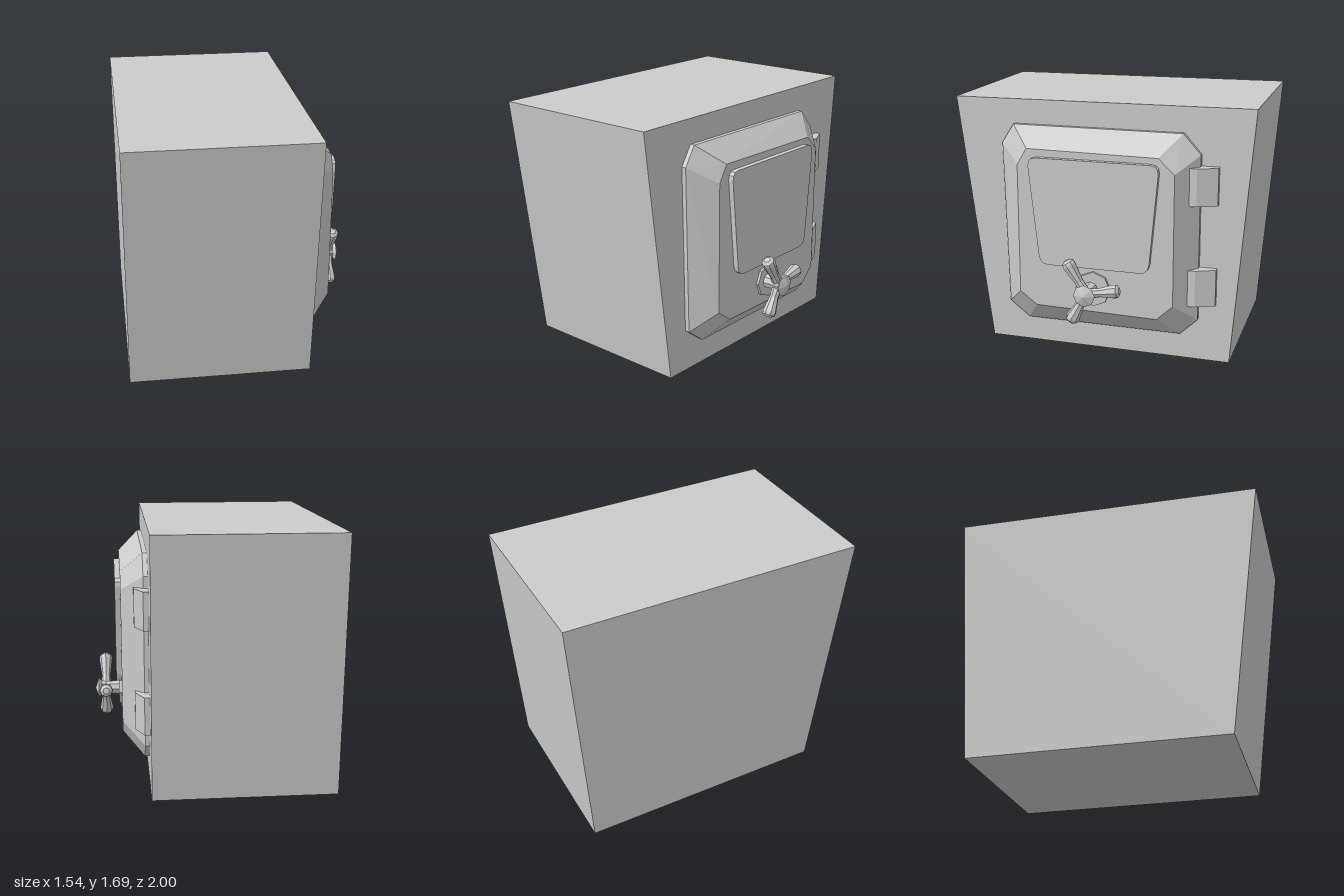
import * as THREE from 'three';
import { ConvexGeometry } from 'three/addons/geometries/ConvexGeometry.js';

const material = new THREE.MeshStandardMaterial({ color: 0xcccccc, flatShading: true });

function add(parent, name, geometry) {
  const mesh = new THREE.Mesh(geometry, material);
  mesh.name = name;
  parent.add(mesh);
  return mesh;
}

// Outline extruded outward from depth z0 to z1
function slab(outline, z0, z1) {
  const shape = outline instanceof THREE.Shape
    ? outline : new THREE.Shape(outline.map(([x, y]) => new THREE.Vector2(x, y)));
  return new THREE.ExtrudeGeometry(shape, { depth: z1 - z0, bevelEnabled: false, curveSegments: 3 })
    .translate(0, 0, z0);
}

// Polygon with corners rounded by radius r
function rounded(corners, r) {
  const pts = corners.map(([x, y]) => new THREE.Vector2(x, y));
  const shape = new THREE.Shape();
  pts.forEach((p, i) => {
    const prev = pts[(i + pts.length - 1) % pts.length];
    const next = pts[(i + 1) % pts.length];
    const a = prev.clone().sub(p).setLength(r).add(p);
    const b = next.clone().sub(p).setLength(r).add(p);
    if (i === 0) shape.moveTo(a.x, a.y); else shape.lineTo(a.x, a.y);
    shape.quadraticCurveTo(p.x, p.y, b.x, b.y);
  });
  shape.closePath();
  return shape;
}

// Low-poly turned part along +y, given [radius, height] pairs
const turned = (profile, sides = 8) =>
  new THREE.LatheGeometry(profile.map(([r, h]) => new THREE.Vector2(r, h)), sides);

export function createModel() {
  const model = new THREE.Group();
  // Parts are laid out with the door facing local +z, then turned to face +x
  const safe = new THREE.Group();
  safe.name = 'safe';
  safe.rotation.y = Math.PI / 2;
  model.add(safe);

  // Tapered cabinet
  add(safe, 'body', slab([[-0.79, 0.01], [0.87, 0], [1, 1.69], [-1, 1.68]], -0.77, 0.42));

  // Bevelled eight-sided door
  const rim = [[-0.59, 1.52], [0.545, 1.52], [0.66, 1.39], [0.66, 0.29],
    [0.545, 0.18], [-0.51, 0.185], [-0.645, 0.29], [-0.67, 1.395]];
  const face = [[-0.45, 1.395], [0.42, 1.385], [0.525, 1.285], [0.525, 0.42],
    [0.42, 0.32], [-0.4, 0.335], [-0.515, 0.42], [-0.515, 1.285]];
  const at = (loop, z) => loop.map(([x, y]) => new THREE.Vector3(x, y, z));
  add(safe, 'door', new ConvexGeometry([...at(rim, 0.41), ...at(rim, 0.45), ...at(face, 0.59)]));

  // Raised panel on the door
  const panel = rounded([[-0.36, 0.635], [0.37, 0.635], [0.435, 1.345], [-0.435, 1.345]], 0.06);
  add(safe, 'doorPanel', slab(panel, 0.58, 0.625));

  // Hinges: side profile extruded upward
  for (const [name, y] of [['upperHinge', 1.07], ['lowerHinge', 0.4]]) {
    const profile = [[0.6, -0.41], [0.6, -0.51], [0.65, -0.51], [0.775, -0.455], [0.775, -0.41]];
    const hinge = slab(profile, 0, 0.245).rotateX(-Math.PI / 2);
    add(safe, name, hinge).position.y = y;
  }

  // Handle: mounting plate, shaft with cap, three flared spokes
  const handle = new THREE.Group();
  handle.name = 'handle';
  handle.position.set(-0.02, 0.49, 0);
  safe.add(handle);
  const plate = turned([[0, 0.58], [0.117, 0.58], [0.117, 0.607], [0, 0.607]]).rotateX(Math.PI / 2);
  add(handle, 'handlePlate', plate).position.x = 0.015;
  const hub = [[0, 0.59], [0.05, 0.59], [0.047, 0.66], [0.05, 0.725], [0.073, 0.745], [0, 0.77]];
  add(handle, 'handleHub', turned(hub).rotateX(Math.PI / 2));
  for (const [angle, length] of [[10, 0.225], [122, 0.25], [242, 0.23]]) {
    const spoke = add(handle, 'handleSpoke', turned([[0, 0], [0.036, 0], [0.03, 0.09],
      [0.046, length - 0.035], [0.042, length - 0.015], [0.022, length], [0, length]]));
    spoke.position.z = 0.695;
    spoke.rotation.z = THREE.MathUtils.degToRad(angle - 90);
  }

  return model;
}
